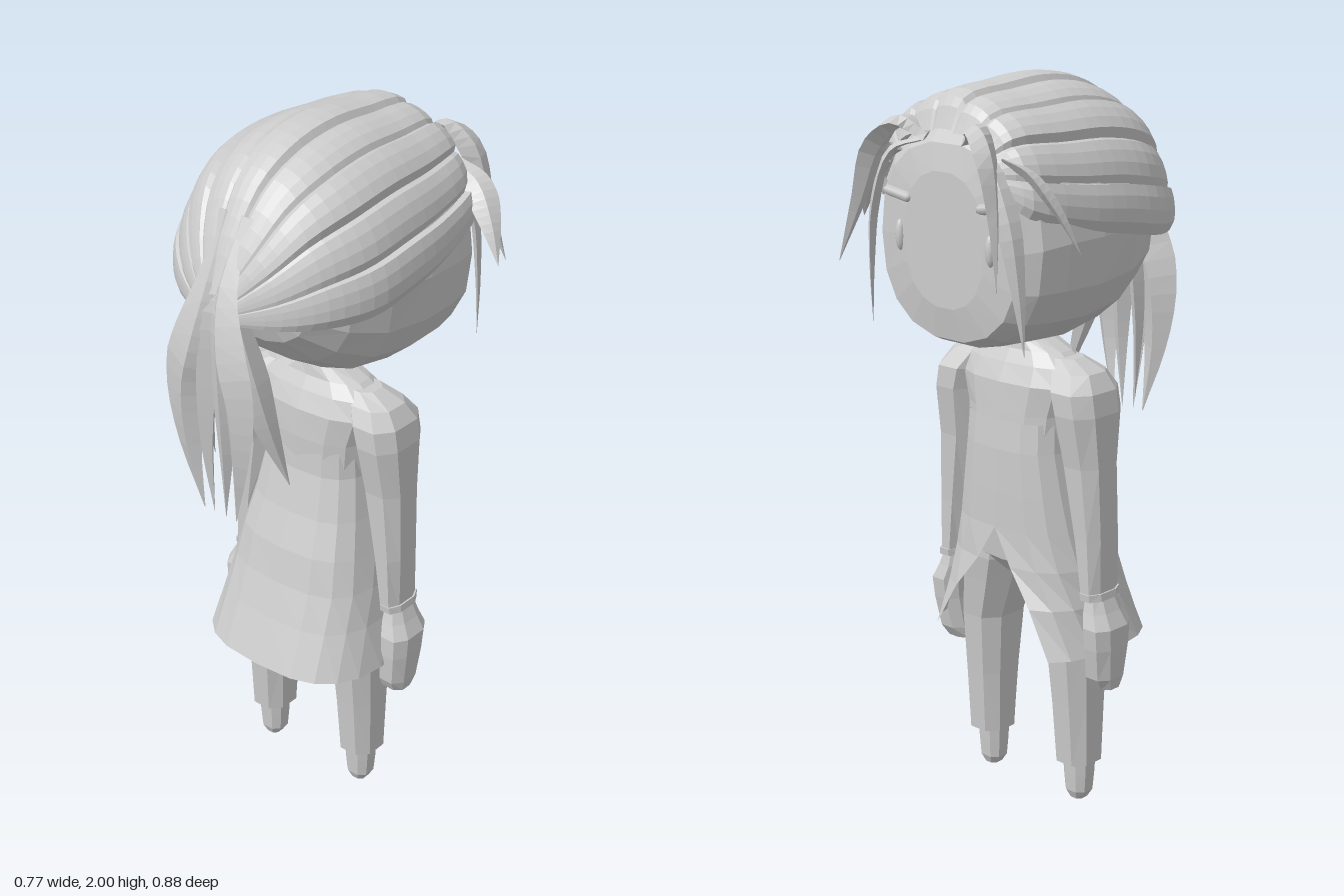
import * as THREE from 'three';

const grey = new THREE.MeshStandardMaterial({ color: 0xcccccc, side: THREE.DoubleSide });
grey.name = 'plain grey';

// Faceted skin over a list of rings (arrays of Vector3)
function loft(name, rings, { closed = true, flip = false } = {}) {
  const pos = [];
  const tri = (a, b, c) => (flip ? [a, c, b] : [a, b, c]).forEach(p => pos.push(p.x, p.y, p.z));
  const n = rings[0].length;
  for (let i = 0; i + 1 < rings.length; i++) {
    for (let j = 0; j < (closed ? n : n - 1); j++) {
      const k = (j + 1) % n, A = rings[i], B = rings[i + 1];
      tri(A[j], B[j], B[k]);
      tri(A[j], B[k], A[k]);
    }
  }
  if (closed) {
    const first = rings[0], last = rings[rings.length - 1];
    for (let j = 1; j + 1 < n; j++) {
      tri(first[0], first[j], first[j + 1]);
      tri(last[0], last[j + 1], last[j]);
    }
  }
  const g = new THREE.BufferGeometry();
  g.setAttribute('position', new THREE.Float32BufferAttribute(pos, 3));
  g.computeVertexNormals();
  const mesh = new THREE.Mesh(g, grey);
  mesh.name = name;
  return mesh;
}

// Rounded value used for slightly boxy ellipses
const soft = (v, p) => Math.sign(v) * Math.pow(Math.abs(v), p);

// Upright limb from rows [y, centre x, radius x, centre z, radius z], on side s
function limb(name, rows, s = 1, n = 8) {
  const rings = rows.map(([y, cx, rx, cz, rz]) => Array.from({ length: n }, (_, j) => {
    const a = (j + 0.5) / n * Math.PI * 2;
    return new THREE.Vector3(s * (cx + rx * soft(Math.cos(a), 0.8)), y, cz + rz * soft(Math.sin(a), 0.8));
  }));
  return loft(name, rings, { flip: s < 0 });
}

// Tapered lock of hair: diamond section swept along a path
function lock(name, path, width, side, s = 1, root = 0.4, depth = 0.4) {
  const curve = new THREE.CatmullRomCurve3(path.map(p => new THREE.Vector3(...p)));
  const N = 16, rings = [];
  for (let i = 0; i <= N; i++) {
    const t = i / N, p = curve.getPoint(t), T = curve.getTangent(t);
    const S = new THREE.Vector3(...side);
    S.addScaledVector(T, -S.dot(T)).normalize();
    const M = new THREE.Vector3().crossVectors(S, T);
    const swell = root + (1 - root) * (0.5 - 0.5 * Math.cos(Math.min(t / 0.5, 1) * Math.PI));
    const w = width * (t < 0.5 ? swell : Math.max(1 - Math.pow((t - 0.5) / 0.5, 1.3), 0.02));
    rings.push([[S, w], [M, w * depth], [S, -w], [M, -w * depth]].map(([d, k]) => {
      const q = p.clone().addScaledVector(d, k);
      q.x *= s;
      return q;
    }));
  }
  return loft(name, rings, { flip: s < 0 });
}

function buildHead() {
  const rows = [ // z, bottom, top, half width
    [0.29, 1.58, 1.70, 0.08], [0.25, 1.48, 1.80, 0.19], [0.17, 1.40, 1.87, 0.26], [0.06, 1.335, 1.92, 0.30],
    [-0.08, 1.31, 1.93, 0.31], [-0.2, 1.315, 1.92, 0.305], [-0.28, 1.325, 1.89, 0.285], [-0.325, 1.345, 1.85, 0.24],
    [-0.34, 1.43, 1.78, 0.14],
  ];
  const n = 18;
  return loft('head', rows.map(([z, lo, hi, rx]) => Array.from({ length: n }, (_, j) => {
    const a = j / n * Math.PI * 2;
    return new THREE.Vector3(rx * soft(Math.cos(a), 0.85), (lo + hi) / 2 + (hi - lo) / 2 * soft(Math.sin(a), 0.85), z);
  })));
}

// Swept-back hair: broad rounded strands running from the hairline to the tail
function buildSweptHair() {
  const g = new THREE.Group();
  g.name = 'sweptHair';
  const rows = [ // z, lower edge, crown, half width
    [-0.338, 1.74, 1.885, 0.215], [-0.3, 1.70, 1.965, 0.28], [-0.15, 1.66, 1.99, 0.32], [0, 1.635, 2.0, 0.333],
    [0.14, 1.61, 1.975, 0.322], [0.25, 1.6, 1.91, 0.268], [0.33, 1.59, 1.79, 0.18], [0.39, 1.585, 1.65, 0.055],
  ];
  const rail = (u, k) => new THREE.CatmullRomCurve3(rows.map(([z, lo, hi, rx]) => new THREE.Vector3(
    rx * k * Math.cos(u), lo + (hi - lo) * (Math.sin(u) - (1 - k) * 0.8), z))).getPoints(22);
  const count = 9, step = Math.PI / count;
  for (let i = 0; i < count; i++) {
    const u = i * step, high = i % 2 ? 0.975 : 1;
    const rails = [[0, 0.935], [0.12, high - 0.01], [0.37, high], [0.63, high], [0.88, high - 0.01], [1, 0.935]]
      .map(([f, k]) => rail(u + step * f, k));
    const rings = rails[0].map((_, j) => rails.map(r => r[j]));
    g.add(loft('hairStrand', rings, { closed: false, flip: true }));
  }
  return g;
}

function buildCoat() {
  const rows = [ // y, half width, front z, back z, half opening angle
    [0.47, 0.275, -0.23, 0.262, 0.75], [0.6, 0.245, -0.19, 0.212, 0.45], [0.7, 0.225, -0.168, 0.178, 0.15],
    [0.8, 0.205, -0.162, 0.155, 0], [0.9, 0.185, -0.162, 0.12, 0], [1.02, 0.164, -0.16, 0.09, 0],
    [1.1, 0.16, -0.153, 0.085, 0],
  ];
  const n = 16;
  return loft('coatSkirt', rows.map(([y, rx, zf, zb, gap]) => Array.from({ length: n + 1 }, (_, j) => {
    const a = -Math.PI / 2 + gap + (Math.PI * 2 - 2 * gap) * j / n;
    return new THREE.Vector3(rx * soft(Math.cos(a), 0.7), y, (zf + zb) / 2 + (zb - zf) / 2 * soft(Math.sin(a), 0.75));
  })), { closed: false });
}

export function createModel() {
  const model = new THREE.Group();
  model.name = 'figure';

  // Head and torso
  model.add(buildHead(), buildSweptHair(), buildCoat());
  model.add(limb('neck', [[1.24, 0, 0.085, -0.03, 0.066], [1.36, 0, 0.06, -0.035, 0.062]]));
  model.add(limb('torso', [
    [0.65, 0, 0.05, -0.01, 0.08], [0.7, 0, 0.16, -0.01, 0.125], [0.82, 0, 0.18, -0.02, 0.13],
    [1.0, 0, 0.16, -0.035, 0.122], [1.12, 0, 0.172, -0.03, 0.118], [1.2, 0, 0.2, -0.03, 0.112],
    [1.25, 0, 0.19, -0.03, 0.09], [1.285, 0, 0.14, -0.03, 0.07], [1.315, 0, 0.07, -0.03, 0.064],
  ], 1, 14));

  for (const s of [1, -1]) {
    // Arm, cuff and hand
    model.add(limb('arm', [
      [0.64, 0.262, 0.03, -0.033, 0.062], [0.8, 0.25, 0.045, -0.033, 0.067], [1.0, 0.228, 0.064, -0.035, 0.076],
      [1.14, 0.218, 0.07, -0.035, 0.1], [1.2, 0.205, 0.074, -0.035, 0.1], [1.245, 0.18, 0.07, -0.03, 0.072],
      [1.275, 0.13, 0.055, -0.03, 0.045],
    ], s));
    model.add(limb('cuff', [[0.635, 0.264, 0.036, -0.034, 0.064], [0.655, 0.263, 0.034, -0.034, 0.066]], s));
    model.add(limb('hand', [
      [0.375, 0.27, 0.042, -0.02, 0.035], [0.41, 0.275, 0.046, -0.023, 0.057], [0.5, 0.284, 0.046, -0.027, 0.07],
      [0.56, 0.285, 0.048, -0.03, 0.074], [0.6, 0.272, 0.04, -0.032, 0.06], [0.65, 0.265, 0.026, -0.034, 0.046],
    ], s));

    // Leg and foot
    model.add(limb('leg', [
      [0.12, 0.166, 0.06, -0.003, 0.065], [0.3, 0.163, 0.066, -0.003, 0.078], [0.48, 0.158, 0.075, -0.003, 0.094],
      [0.6, 0.128, 0.093, -0.005, 0.112], [0.68, 0.105, 0.1, -0.01, 0.122], [0.78, 0.09, 0.09, -0.015, 0.12],
    ], s));
    model.add(limb('foot', [
      [0, 0.165, 0.022, 0, 0.024], [0.025, 0.165, 0.038, 0, 0.036], [0.08, 0.165, 0.043, 0, 0.04], [0.14, 0.165, 0.046, 0, 0.044],
    ], s));

    // Face details
    const eye = new THREE.Mesh(new THREE.SphereGeometry(1, 10, 6), grey);
    eye.name = 'eye';
    eye.scale.set(0.014, 0.042, 0.014);
    eye.position.set(s * 0.16, 1.6, -0.336);
    const brow = new THREE.Mesh(new THREE.CapsuleGeometry(0.014, 0.07, 3, 6), grey);
    brow.name = 'brow';
    brow.position.set(s * 0.165, 1.705, -0.338);
    brow.rotation.z = Math.PI / 2 + s * 0.15;
    model.add(eye, brow);

    // Loose locks around the face
    model.add(lock('frontLock', [[0.07, 1.86, -0.325], [0.13, 1.895, -0.355], [0.19, 1.84, -0.385], [0.235, 1.7, -0.405], [0.28, 1.53, -0.44]],
      0.042, [-0.3, 0.3, 1], s, 0.5, 0.5));
    model.add(lock('cheekLock', [[0.09, 1.85, -0.32], [0.17, 1.82, -0.35], [0.235, 1.68, -0.352], [0.26, 1.52, -0.345], [0.272, 1.35, -0.335]],
      0.032, [0.5, 0.1, 0.8], s));
    model.add(lock('templeLock', [[0.19, 1.82, -0.315], [0.27, 1.79, -0.305], [0.335, 1.71, -0.28], [0.385, 1.61, -0.255]],
      0.04, [0.2, 0.5, -0.8], s, 0.6));

    // Tail: broad outer lock, slim middle lock and short inner lock
    model.add(lock('tailOuterLock', [[0.03, 1.83, 0.295], [0.026, 1.66, 0.37], [0.05, 1.52, 0.395], [0.084, 1.38, 0.4], [0.085, 1.22, 0.4], [0.055, 1.02, 0.385]],
      0.074, [1, 0, 0.2], s, 0.35, 0.55));
    model.add(lock('tailMiddleLock', [[0.015, 1.7, 0.35], [0.018, 1.6, 0.385], [0.03, 1.4, 0.39], [0.032, 1.22, 0.392], [0.02, 1.02, 0.385]],
      0.036, [1, 0, -0.2], s, 0.5, 0.9));
    model.add(lock('tailInnerLock', [[0.03, 1.64, 0.355], [0.055, 1.5, 0.345], [0.095, 1.3, 0.315], [0.13, 1.1, 0.262]],
      0.046, [0.4, 0, -0.9], s, 0.5));
  }
  return model;
}
